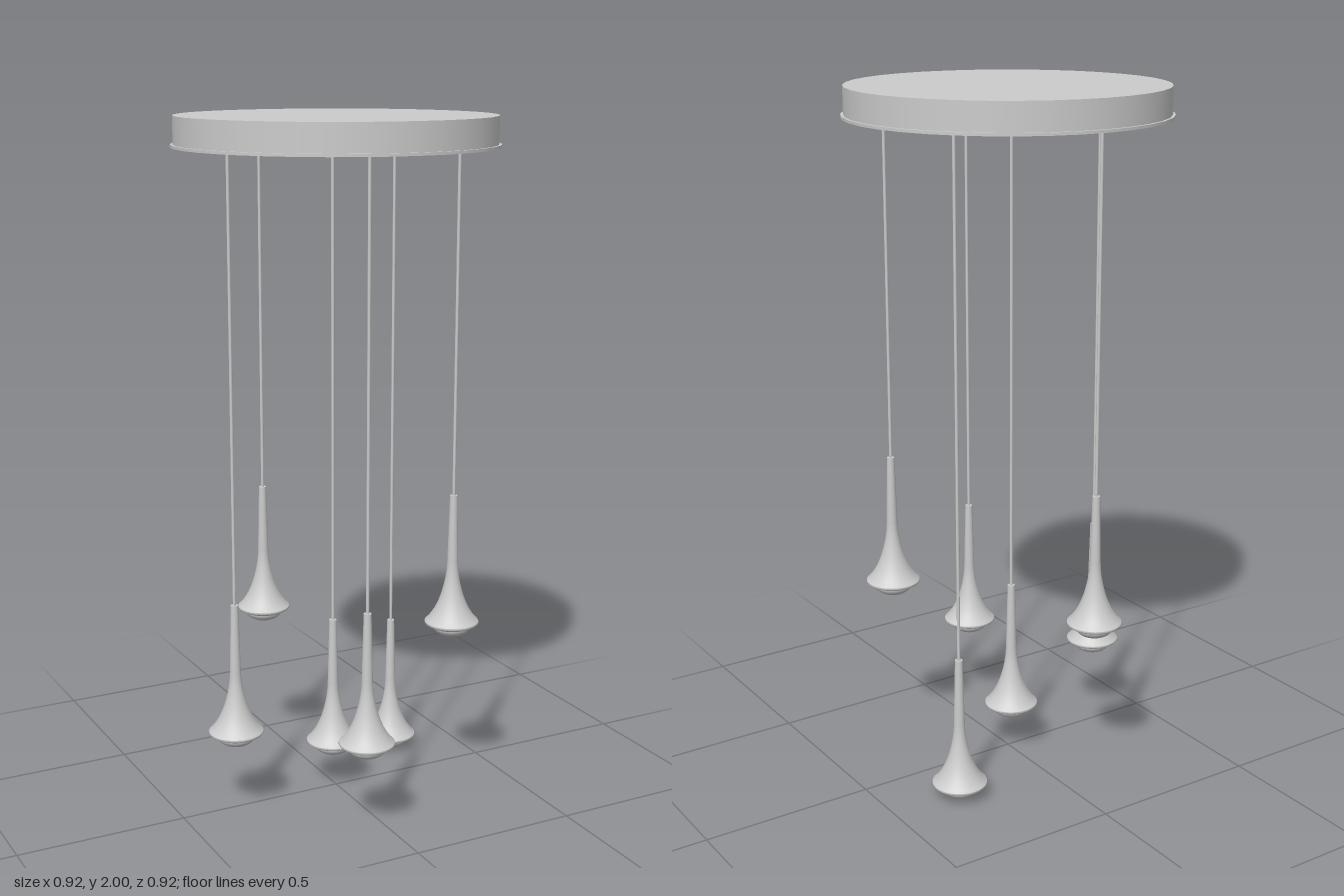
import * as THREE from 'three';

const material = new THREE.MeshStandardMaterial({ color: 0xcccccc });

function part(name, geometry, y = 0) {
  const mesh = new THREE.Mesh(geometry, material);
  mesh.name = name;
  mesh.position.y = y;
  return mesh;
}

const points = (list) => list.map(([r, y]) => new THREE.Vector2(r, y));
const lathe = (list) => new THREE.LatheGeometry(points(list), 32);

// Flared horn: smooth concave curve from the rim up to the neck
const flare = new THREE.SplineCurve(points([
  [0.079, 0.046], [0.066, 0.06], [0.05, 0.085], [0.035, 0.12], [0.024, 0.16], [0.018, 0.195], [0.016, 0.222],
])).getPoints(20);
const hornGeometry = new THREE.LatheGeometry(flare, 32);
const rimGeometry = lathe([[0.052, 0.027], [0.062, 0.031], [0.077, 0.038], [0.08, 0.042], [0.079, 0.046]]);
const stemGeometry = new THREE.CylinderGeometry(0.011, 0.016, 0.205, 24);

// Shallow domed diffuser under the rim
const lens = [];
for (let i = 0; i <= 10; i++) {
  const a = (i / 10) * Math.PI / 2;
  lens.push([0.055 * Math.sin(a), 0.03 - 0.03 * Math.cos(a)]);
}
const lensGeometry = lathe(lens);

function createPendant(x, z, bottom) {
  const pendant = new THREE.Group();
  pendant.name = 'pendant';
  pendant.position.set(x, bottom, z);
  const cordStart = 0.42;
  const cordLength = 1.92 - bottom - cordStart;
  pendant.add(
    part('lens', lensGeometry),
    part('rim', rimGeometry),
    part('horn', hornGeometry),
    part('stem', stemGeometry, 0.3245),
    part('cord', new THREE.CylinderGeometry(0.0045, 0.0045, cordLength, 12), cordStart + cordLength / 2),
  );
  return pendant;
}

export function createModel() {
  const model = new THREE.Group();
  model.name = 'pendantCluster';

  // Ceiling canopy with a thin projecting base plate
  model.add(
    part('canopy', new THREE.CylinderGeometry(0.45, 0.45, 0.082, 36), 1.959),
    part('canopyPlate', new THREE.CylinderGeometry(0.458, 0.458, 0.008, 36), 1.918),
  );

  // Pendants: x, z, height of the lowest point
  const pendants = [
    [-0.345, 0.038, 0.215],
    [-0.097, -0.302, 0.453],
    [-0.075, 0.335, 0.24],
    [-0.007, -0.007, 0.103],
    [0.28, 0.198, 0.5],
    [0.286, -0.178, 0],
  ];
  for (const p of pendants) model.add(createPendant(...p));
  return model;
}
